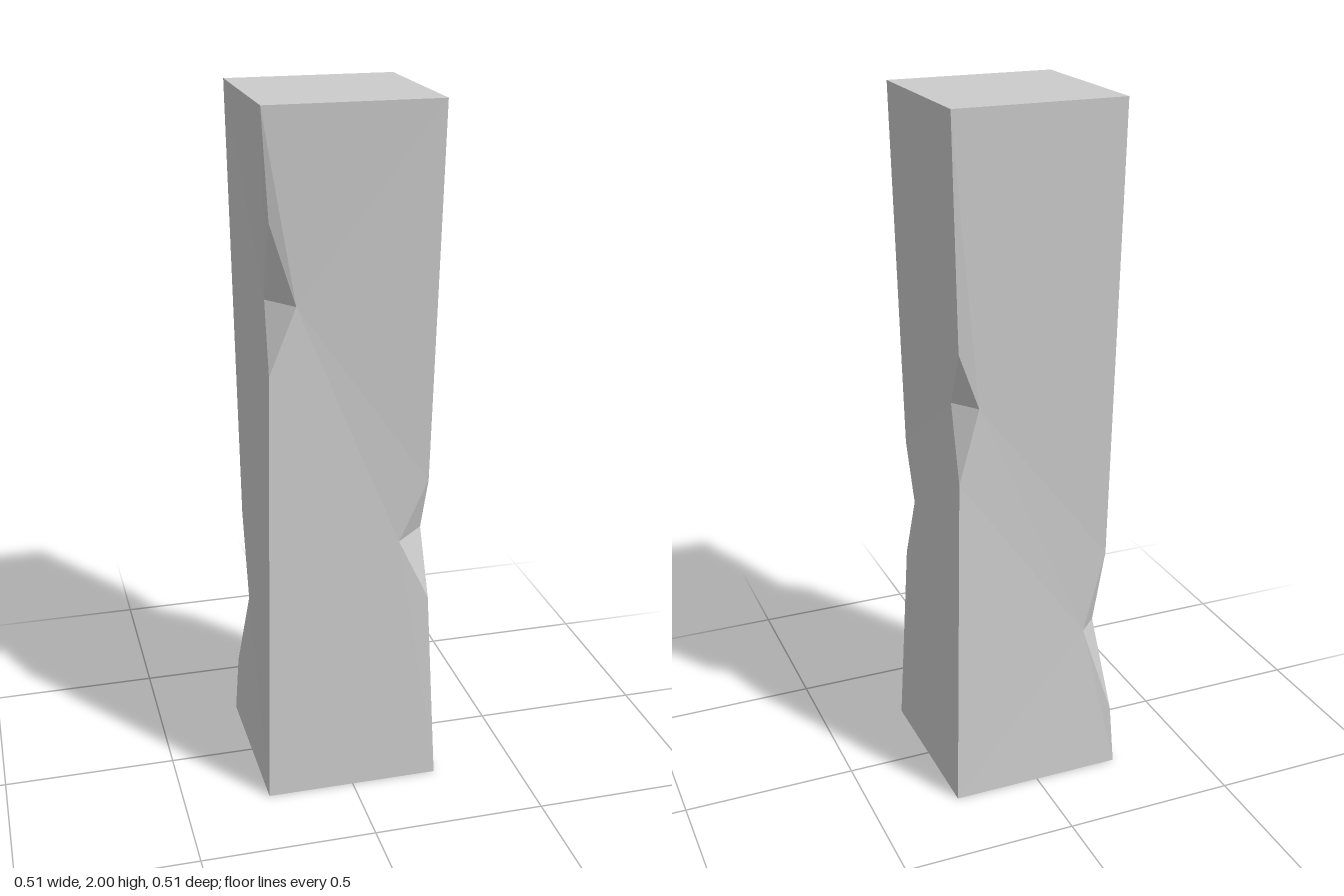
import * as THREE from 'three';

const V = (x, y, z) => new THREE.Vector3(x, y, z);

// Corners anticlockwise from above, starting front right-hand (-x, +z).
// up / low: ends of the chipped notch; prev / next: [offset, height] of the
// notch tip on the face before and the face after the corner.
const CORNERS = [
  { sx: -1, sz: 1, up: [0.222, 1.7], low: [0.229, 1.29], prev: [0.15, 1.48], next: [0.152, 1.475] },
  { sx: 1, sz: 1, up: [0.223, 0.945], low: [0.228, 0.58], prev: [0.14, 0.765], next: [0.16, 0.775] },
  { sx: 1, sz: -1, up: [0.222, 1.36], low: [0.226, 0.99], prev: [0.16, 1.205], next: [0.165, 1.2] },
  { sx: -1, sz: -1, up: [0.223, 0.7], low: [0.243, 0.18], prev: [0.157, 0.455], next: [0.15, 0.445] },
];
const TOP = 0.243, BOTTOM = 0.253, WAIST = 0.222;

function createCorner({ sx, sz, up, low, prev, next }, i) {
  const at = (r, y) => V(sx * r, y, sz * r);
  // Even corners follow an x-facing side, odd corners a z-facing side
  const onZ = ([r, y]) => V(sx * r, y, sz * WAIST);
  const onX = ([r, y]) => V(sx * WAIST, y, sz * r);
  return {
    top: at(TOP, 2), bottom: at(BOTTOM, 0), up: at(...up), low: at(...low),
    prev: i % 2 ? onZ(prev) : onX(prev),
    next: i % 2 ? onX(next) : onZ(next),
    height: up[1],
  };
}

export function createModel() {
  const group = new THREE.Group();
  const material = new THREE.MeshStandardMaterial({ color: 0xcccccc, flatShading: true });
  const corners = CORNERS.map(createCorner);

  const addMesh = (name, triangles) => {
    const geometry = new THREE.BufferGeometry().setFromPoints(triangles.flat());
    geometry.computeVertexNormals();
    const mesh = new THREE.Mesh(geometry, material);
    mesh.name = name;
    group.add(mesh);
  };

  // Sides: strip of facets zigzagging between the high and the low notch
  ['frontSide', 'leftSide', 'backSide', 'rightSide'].forEach((name, i) => {
    const a = corners[i], b = corners[(i + 1) % 4];
    const highFirst = a.height > b.height;
    const [h, l] = highFirst ? [a, b] : [b, a];
    const [hTip, lTip] = highFirst ? [a.next, b.prev] : [b.prev, a.next];
    const facets = [
      [h.up, hTip, h.top], [h.top, hTip, l.top], [l.top, hTip, l.up], [l.up, hTip, lTip],
      [hTip, h.low, lTip], [h.low, h.bottom, lTip], [h.bottom, l.bottom, lTip], [l.bottom, l.low, lTip],
    ];
    addMesh(name, highFirst ? facets : facets.map((f) => f.reverse()));
  });

  // Notches: two facets chipped out of each corner edge
  corners.forEach((c, i) => addMesh(`cornerNotch${i + 1}`, [
    [c.up, c.prev, c.next], [c.low, c.next, c.prev],
  ]));

  // End caps
  const [t0, t1, t2, t3] = corners.map((c) => c.top);
  const [b0, b1, b2, b3] = corners.map((c) => c.bottom);
  addMesh('topCap', [[t0, t1, t2], [t0, t2, t3]]);
  addMesh('bottomCap', [[b0, b2, b1], [b0, b3, b2]]);
  return group;
}
